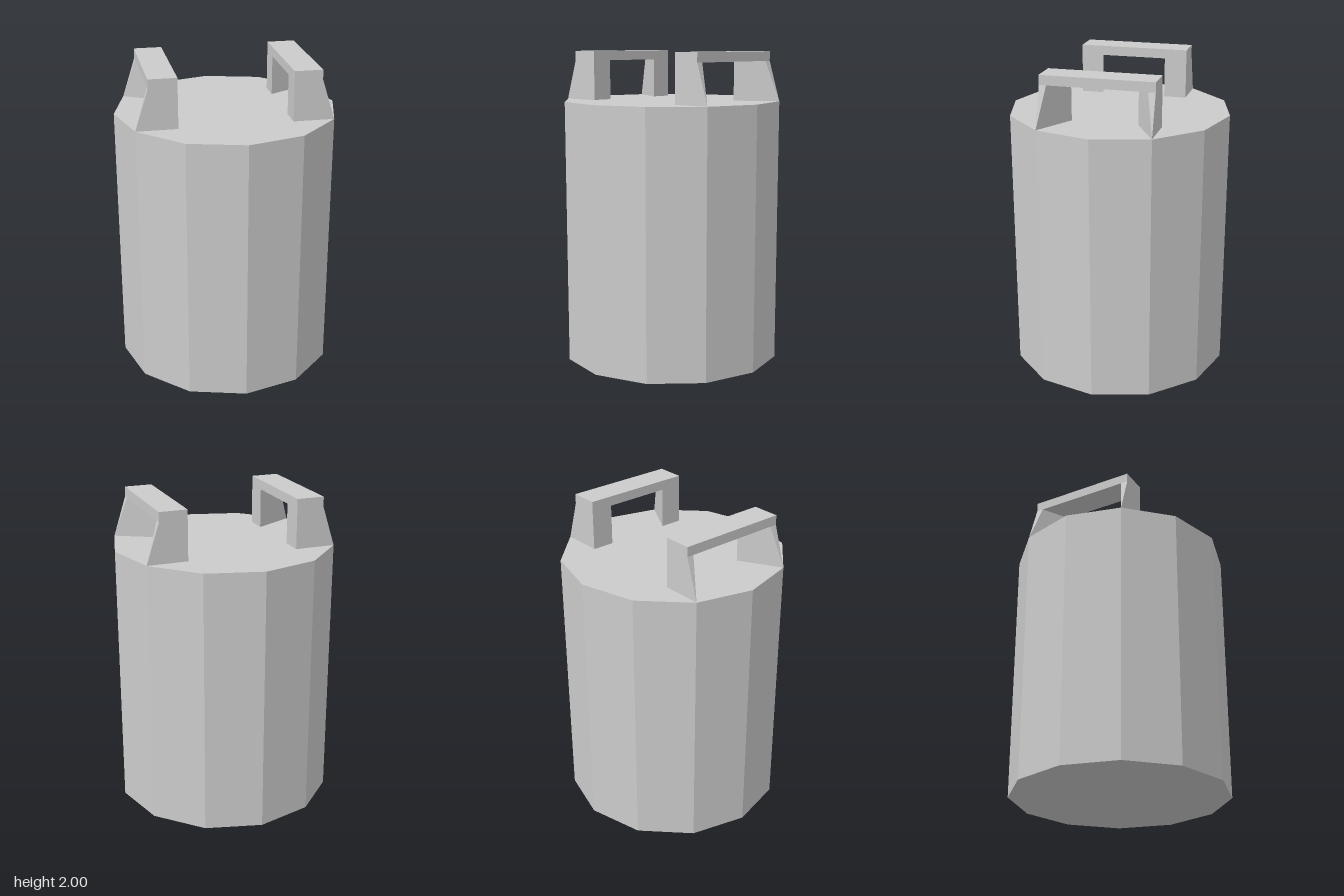
import * as THREE from 'three';
import { ConvexGeometry } from 'three/addons/geometries/ConvexGeometry.js';

const RADIUS = 0.64, BASE = 0.177, DECK = 1.715, BEAM = 1.945, TOP = 2;

export function createModel() {
  const model = new THREE.Group();
  model.name = 'canister';
  const flat = new THREE.MeshStandardMaterial({ color: 0xcccccc, flatShading: true });
  const smooth = new THREE.MeshStandardMaterial({ color: 0xcccccc });

  const add = (parent, name, geometry, material, x = 0, y = 0, z = 0) => {
    const mesh = new THREE.Mesh(geometry, material);
    mesh.name = name;
    mesh.position.set(x, y, z);
    parent.add(mesh);
    return mesh;
  };

  // Twelve-sided wall with its flat lid
  const wallHeight = DECK - BASE;
  add(model, 'wall', new THREE.CylinderGeometry(RADIUS, RADIUS, wallHeight, 12, 1, true), flat, 0, BASE + wallHeight / 2);
  const lid = add(model, 'lid', new THREE.CircleGeometry(RADIUS, 12), flat, 0, DECK);
  lid.rotation.x = -Math.PI / 2;

  // Shallow cone underneath, pointing down
  const cone = add(model, 'bottomCone', new THREE.ConeGeometry(RADIUS, BASE, 12, 1, true), smooth, 0, BASE / 2);
  cone.rotation.x = Math.PI;

  // Handles: a flat beam on two wedge legs that reach out to the lid's corners
  for (const sx of [1, -1]) {
    const handle = new THREE.Group();
    handle.name = sx > 0 ? 'leftHandle' : 'rightHandle';
    add(handle, 'handleBeam', new THREE.BoxGeometry(0.16, TOP - BEAM, 0.64), flat, sx * 0.4, (BEAM + TOP) / 2);
    for (const sz of [1, -1]) {
      const corners = [
        [0.32, DECK, 0.32], [0.32, DECK, 0.19], [0.554, DECK, 0.32],
        [0.32, BEAM, 0.32], [0.32, BEAM, 0.19], [0.48, BEAM, 0.279], [0.48, BEAM, 0.32],
      ].map(([x, y, z]) => new THREE.Vector3(sx * x, y, sz * z));
      add(handle, sz > 0 ? 'frontLeg' : 'backLeg', new ConvexGeometry(corners), flat);
    }
    model.add(handle);
  }
  return model;
}
